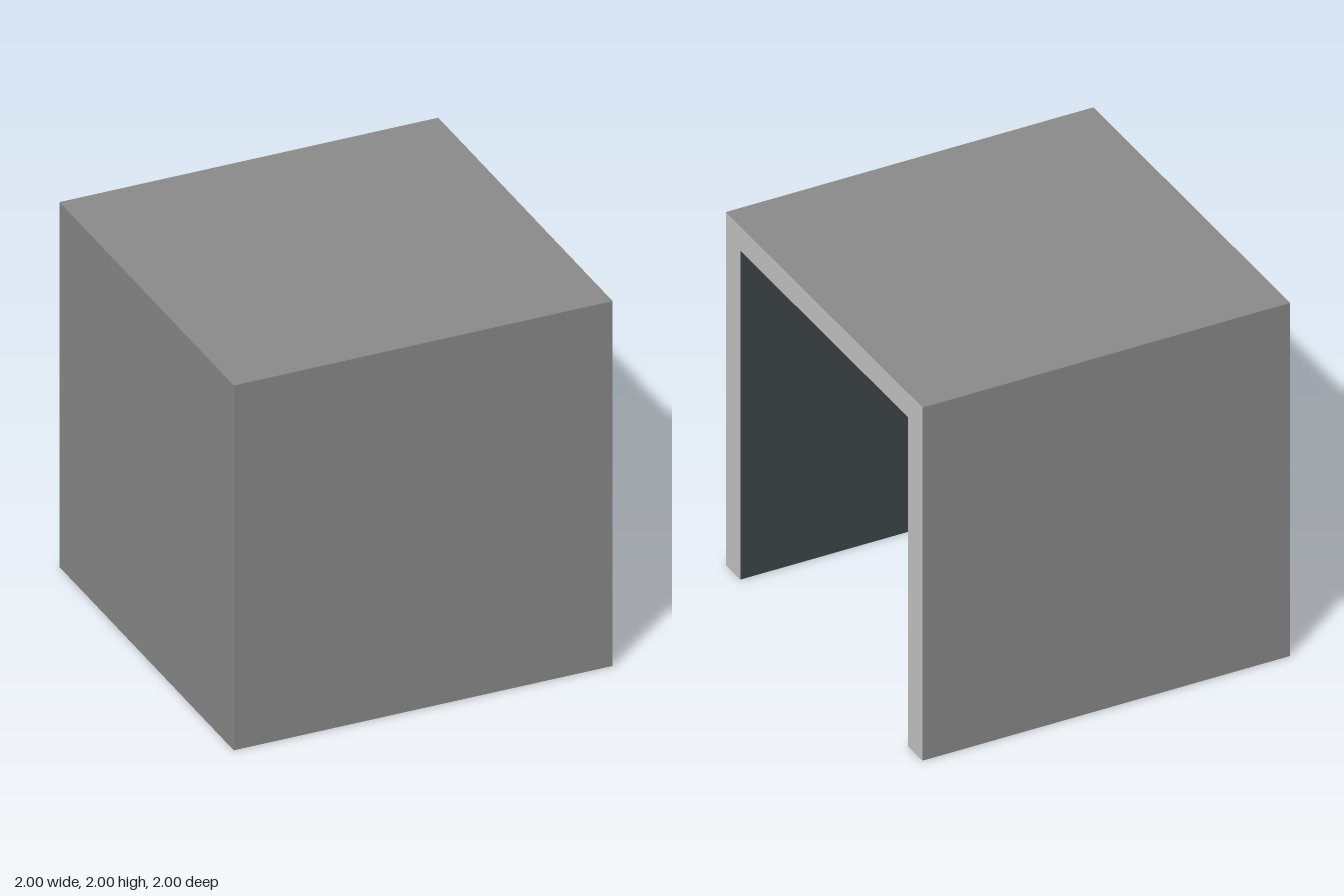
import * as THREE from 'three';

const mat = (name, color) => {
  const m = new THREE.MeshStandardMaterial({ color });
  m.name = name;
  return m;
};

export function createModel() {
  const group = new THREE.Group();
  const shell = mat('shell grey', 0x8c8c8c);
  const rim = mat('rim light grey', 0xc8c8c8);
  const lining = mat('lining slate', 0x40464b);
  const plate = mat('plate charcoal', 0x35393c);
  const face = mat('panel grey', 0x77797a);
  const cap = mat('cap light grey', 0xd2d2d2);

  // Box given by its min and max corners; materials run +x -x +y -y +z -z
  const box = (name, a, b, materials, parent = group) => {
    const size = a.map((v, i) => b[i] - v);
    const mesh = new THREE.Mesh(new THREE.BoxGeometry(...size), materials);
    mesh.position.set(...a.map((v, i) => (v + b[i]) / 2));
    mesh.name = name;
    parent.add(mesh);
    return mesh;
  };

  // Shell open at the right end and underneath
  const inZ = 0.852, inY = 1.863;
  box('frontWall', [-1, 0, inZ], [1, 2, 1], [rim, shell, shell, lining, shell, lining]);
  box('backWall', [-1, 0, -1], [1, 2, -inZ], [rim, shell, shell, lining, lining, shell]);
  box('roof', [-1, inY, -inZ], [1, 2, inZ], [rim, shell, shell, lining, shell, shell]);
  box('endWall', [-1, 0, -inZ], [-0.97, inY, inZ], [lining, shell, shell, lining, shell, shell]);

  // Control panel on the inside of the back wall
  const panel = new THREE.Group();
  panel.name = 'controlPanel';
  group.add(panel);
  box('panelPlate', [0.4, 0.685, -inZ], [0.735, 1.005, -0.827], plate, panel);
  box('panelFace', [0.415, 0.7, -0.827], [0.72, 0.99, -0.823], face, panel);

  // Round part whose axis points to the front
  const disc = (name, x, y, z, r, depth, material) => {
    const mesh = new THREE.Mesh(new THREE.CylinderGeometry(r, r, depth, 20), material);
    mesh.rotation.x = Math.PI / 2;
    mesh.position.set(x, y, z + depth / 2);
    mesh.name = name;
    panel.add(mesh);
  };
  for (const x of [0.48, 0.65]) {
    for (const y of [0.907, 0.778]) {
      disc('knob', x, y, -0.823, 0.049, 0.02, plate);
      disc('knobCap', x, y, -0.803, 0.044, 0.003, x < 0.5 && y < 0.8 ? face : cap);
    }
  }
  disc('indicator', 0.567, 0.965, -0.823, 0.014, 0.004, plate);
  return group;
}
